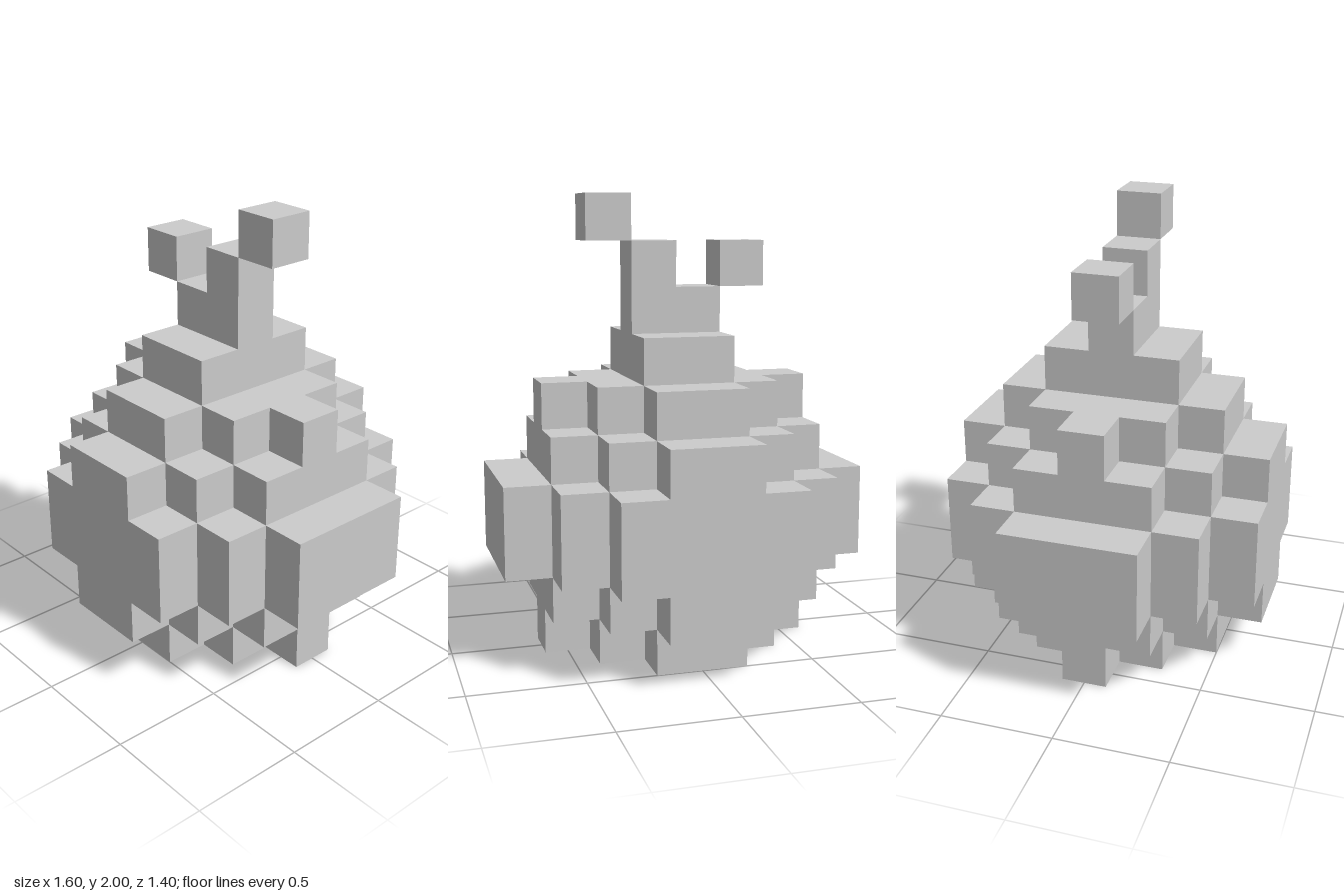
import * as THREE from 'three';

const S = 0.2; // size of one block

// Half-widths (in blocks) of each row, counted outward from the middle row z = 0
const small = [3, 2, 1], medium = [3, 3, 2, 1], large = [4, 4, 3, 2];

// Each part is a list of blocks [column, layer, row]; column i spans x = i*S to (i+1)*S
function layerBlocks(halfWidths, layer) {
  const blocks = [];
  const reach = halfWidths.length - 1;
  for (let row = -reach; row <= reach; row++) {
    const w = halfWidths[Math.abs(row)];
    for (let col = -w; col < w; col++) blocks.push([col, layer, row]);
  }
  return blocks;
}

const parts = {
  body: [small, medium, large, large, medium, small].flatMap(layerBlocks),
  cap: layerBlocks([1, 1], 6),
  stem: [...layerBlocks([1], 7), [0, 8, 0]],
  leftTip: [[1, 9, 0]],
  rightTip: [[-2, 8, 0]],
};

const key = (c, l, r) => `${c},${l},${r}`;

// Outer skin of a set of blocks: only faces without a neighbour are built
function skin(blocks, filled) {
  const positions = [], normals = [], indices = [];
  for (const block of blocks) {
    const centre = [(block[0] + 0.5) * S, (block[1] + 0.5) * S, block[2] * S];
    for (let axis = 0; axis < 3; axis++) {
      for (const sign of [-1, 1]) {
        const next = [...block];
        next[axis] += sign;
        if (filled.has(key(...next))) continue;
        const u = (axis + 1) % 3, v = (axis + 2) % 3;
        const first = positions.length / 3;
        for (const [a, b] of [[-1, -1], [1, -1], [1, 1], [-1, 1]]) {
          const p = [...centre], n = [0, 0, 0];
          p[axis] += sign * S / 2;
          p[u] += a * S / 2;
          p[v] += b * sign * S / 2; // mirrored on the negative side to keep faces outward
          n[axis] = sign;
          positions.push(...p);
          normals.push(...n);
        }
        indices.push(first, first + 1, first + 2, first, first + 2, first + 3);
      }
    }
  }
  const geometry = new THREE.BufferGeometry();
  geometry.setAttribute('position', new THREE.Float32BufferAttribute(positions, 3));
  geometry.setAttribute('normal', new THREE.Float32BufferAttribute(normals, 3));
  geometry.setIndex(indices);
  return geometry;
}

export function createModel() {
  const group = new THREE.Group();
  const material = new THREE.MeshStandardMaterial({ color: 0xcccccc, flatShading: true });
  const filled = new Set(Object.values(parts).flat().map((b) => key(...b)));
  for (const [name, blocks] of Object.entries(parts)) {
    const mesh = new THREE.Mesh(skin(blocks, filled), material);
    mesh.name = name;
    group.add(mesh);
  }
  return group;
}
